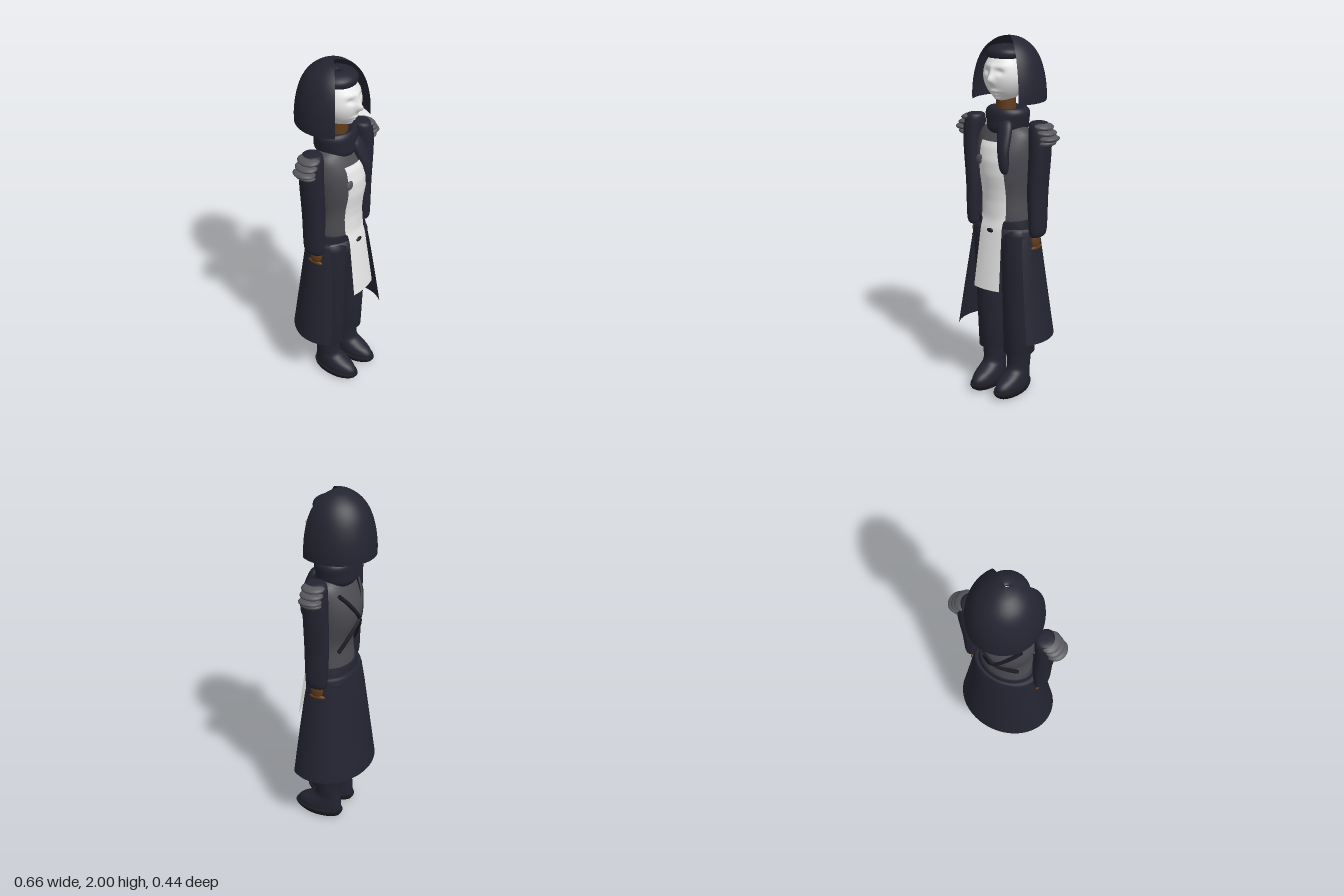
import * as THREE from 'three';
import { mergeVertices } from 'three/addons/utils/BufferGeometryUtils.js';

const paint = (name, color) => {
  const m = new THREE.MeshStandardMaterial({ color, side: THREE.DoubleSide });
  m.name = name;
  return m;
};

// Elliptical cross-sections [y, rx, rz, zCentre, xCentre], bottom to top, joined smoothly.
function loft(rings, { gap = 0, smooth = 1, seg = 40 } = {}) {
  const rows = [];
  rings.forEach((r, i) => {
    if (i === rings.length - 1) return rows.push(r);
    const at = (k) => rings[Math.min(Math.max(k, 0), rings.length - 1)];
    for (let s = 0; s < smooth; s++) {
      const t = s / smooth;
      rows.push([0, 1, 2, 3, 4].map((k) => {
        const [a, b, c, d] = [at(i - 1), r, at(i + 1), at(i + 2)].map((q) => q[k] ?? 0);
        return b + 0.5 * t * (c - a + t * (2 * a - 5 * b + 4 * c - d + t * (3 * (b - c) + d - a)));
      }));
    }
  });
  let g = new THREE.LatheGeometry(rows.map((_, i) => new THREE.Vector2(1, i)), seg, gap, Math.PI * 2 - 2 * gap);
  const p = g.attributes.position;
  for (let i = 0; i < p.count; i++) {
    const [y, rx, rz, zc = 0, xc = 0] = rows[i % rows.length];
    p.setXYZ(i, xc + p.getX(i) * Math.max(rx, 0), y, zc + p.getZ(i) * Math.max(rz, 0));
  }
  g.deleteAttribute('uv');
  g.deleteAttribute('normal');
  g = mergeVertices(g, 1e-5);
  g.computeVertexNormals();
  return g;
}

// Torso sections, shared with the front panel.
const TORSO = [
  [1.0, 0.147, 0.115, 0.015], [1.06, 0.142, 0.115, 0.02], [1.14, 0.134, 0.112, 0.022], [1.2, 0.138, 0.122, 0.018],
  [1.28, 0.152, 0.142, 0.012], [1.36, 0.164, 0.146, 0.01], [1.43, 0.166, 0.128, 0.012], [1.5, 0.15, 0.092, 0.012],
  [1.54, 0.09, 0.06, 0.012], [1.55, 0, 0, 0.012],
];

export function createModel() {
  const model = new THREE.Group();
  model.name = 'hoodedFigure';
  const navy = paint('navyCloth', 0x242432);
  const black = paint('blackLeather', 0x1b1b22);
  const grey = paint('greyVest', 0x4b4b51);
  const steel = paint('shoulderGrey', 0x56565c);
  const white = paint('white', 0xececec);
  const skin = paint('brownSkin', 0x603c1c);

  const add = (name, geo, mat, parent = model) => {
    const m = new THREE.Mesh(geo, mat);
    m.name = name;
    parent.add(m);
    return m;
  };
  const ball = (name, mat, [x, y, z], [a, b, c], parent) => {
    const m = add(name, new THREE.SphereGeometry(1, 28, 18), mat, parent);
    m.position.set(x, y, z);
    m.scale.set(a, b, c);
    return m;
  };

  // Masked head: an ellipsoid with nose, brow, sockets, lips and chin pushed in or out
  const head = new THREE.SphereGeometry(1, 72, 56);
  const hp = head.attributes.position;
  const features = [ // x, y, width, height, depth
    [0, 1.785, 0.014, 0.022, 0.03], [0, 1.82, 0.011, 0.03, 0.012], [0, 1.725, 0.03, 0.008, 0.012],
    [0, 1.705, 0.025, 0.007, 0.012], [0, 1.68, 0.028, 0.014, 0.02], [0, 1.855, 0.07, 0.012, 0.006],
    [-0.042, 1.825, 0.02, 0.014, -0.014], [0.042, 1.825, 0.02, 0.014, -0.014],
  ];
  for (let i = 0; i < hp.count; i++) {
    const y = 1.798 + hp.getY(i) * 0.137;
    const jaw = 1 - 0.12 * THREE.MathUtils.smoothstep(1.8 - y, 0, 0.12);
    const x = hp.getX(i) * 0.116 * jaw;
    let z = 0.018 + hp.getZ(i) * 0.122;
    if (hp.getZ(i) > 0) {
      const fade = Math.min(1, hp.getZ(i) * 2);
      for (const [fx, fy, w, h, d] of features)
        z += fade * d * Math.exp(-(((x - fx) / w) ** 2) - ((y - fy) / h) ** 2);
    }
    hp.setXYZ(i, x, y, z);
  }
  head.computeVertexNormals();
  add('maskedHead', head, white);
  for (const s of [-1, 1]) ball('ear', skin, [s * 0.122, 1.785, 0.015], [0.018, 0.042, 0.028]);
  add('neck', loft([[1.55, 0.055, 0.053, 0.015], [1.72, 0.052, 0.052, 0.015]]), skin);

  // Hair ring, open at the crown
  add('hair', loft([
    [1.89, 0.085, 0.085, 0.012], [1.893, 0.1, 0.1, 0.012], [1.915, 0.107, 0.104, 0.012], [1.935, 0.095, 0.094, 0.012],
    [1.952, 0.06, 0.06, 0.012], [1.95, 0.017, 0.017, 0.012], [1.93, 0.017, 0.017, 0.012],
  ], { smooth: 3 }), navy);

  // Hood, open at the front
  add('hood', loft([
    [1.663, 0.194, 0.202, -0.015], [1.72, 0.194, 0.201, -0.015], [1.8, 0.184, 0.191, -0.014], [1.88, 0.16, 0.168, -0.013],
    [1.94, 0.124, 0.13, -0.012], [1.98, 0.075, 0.078, -0.011], [1.995, 0.035, 0.036, -0.01], [2.0, 0, 0, -0.01],
  ], { gap: 0.9, smooth: 4, seg: 56 }), navy);

  // Scarf with a hanging end
  add('scarf', loft([
    [1.5, 0.06, 0.06, 0], [1.492, 0.088, 0.09, 0.005], [1.52, 0.108, 0.113, 0], [1.56, 0.116, 0.112, 0],
    [1.6, 0.122, 0.11, 0], [1.622, 0.112, 0.102, 0], [1.63, 0.09, 0.085, 0.005], [1.61, 0.05, 0.05, 0.012],
  ], { smooth: 4 }), navy);
  add('scarfEnd', loft([
    [1.298, 0, 0, 0.142, 0.085], [1.305, 0.018, 0.013, 0.142, 0.085], [1.34, 0.028, 0.022, 0.143, 0.082],
    [1.42, 0.034, 0.026, 0.138, 0.074], [1.5, 0.042, 0.028, 0.112, 0.062], [1.56, 0.04, 0.025, 0.088, 0.05],
    [1.59, 0, 0, 0.07, 0.045],
  ], { smooth: 4, seg: 24 }), navy);

  // Vest, belt and hips
  add('vest', loft(TORSO, { smooth: 4, seg: 56 }), grey);
  add('belt', loft([
    [0.96, 0.165, 0.118, 0.01], [0.965, 0.17, 0.124, 0.01], [1.024, 0.163, 0.122, 0.012], [1.03, 0.155, 0.116, 0.015],
    [1.03, 0.13, 0.1, 0.015],
  ]), navy);
  add('hips', loft([
    [0.78, 0.15, 0.09, 0.01], [0.9, 0.183, 0.118, 0.01], [0.985, 0.183, 0.124, 0.01], [0.99, 0, 0, 0.01],
  ]), navy);

  // White front panel: hugs the vest, then hangs free below the belt
  const vestFront = (x, y) => {
    let i = 0;
    while (i < TORSO.length - 3 && TORSO[i + 1][0] < y) i++;
    const [a, b] = [TORSO[i], TORSO[i + 1]];
    const t = THREE.MathUtils.clamp((y - a[0]) / (b[0] - a[0]), 0, 1);
    const [rx, rz, zc] = [1, 2, 3].map((k) => a[k] + (b[k] - a[k]) * t);
    return zc + rz * Math.sqrt(1 - (x / rx) ** 2);
  };
  const panel = new THREE.PlaneGeometry(2, 0.81, 16, 60);
  const pp = panel.attributes.position;
  for (let i = 0; i < pp.count; i++) {
    const y = pp.getY(i) + 1.055;
    const half = y > 1.04 ? 0.08 : 0.07 + 0.016 * Math.max(0, (1.0 - y) / 0.35);
    const x = pp.getX(i) * half;
    const flap = 0.157 + (0.98 - y) * 0.145 - 1.6 * x * x;
    const t = THREE.MathUtils.smoothstep(y, 0.98, 1.08);
    pp.setXYZ(i, x, y, flap * (1 - t) + (vestFront(x, y) + 0.008) * t);
  }
  panel.computeVertexNormals();
  add('frontPanel', panel, white);
  ball('buckle', black, [0, 0.978, 0.158], [0.021, 0.012, 0.008]);
  ball('brooch', steel, [-0.072, 1.36, 0.146], [0.028, 0.026, 0.01]);

  // Long coat skirt, open at the front
  add('coatSkirt', loft([
    [0.36, 0.287, 0.238, 0.02], [0.6, 0.25, 0.205, 0.018], [0.85, 0.212, 0.168, 0.014], [0.97, 0.194, 0.142, 0.01],
    [0.99, 0.184, 0.13, 0.01], [0.992, 0.14, 0.1, 0.01],
  ], { gap: 0.99, smooth: 2, seg: 56 }), navy);

  // Crossed straps on the back
  for (const s of [-1, 1]) {
    const path = new THREE.CatmullRomCurve3([
      [0.125, 1.47, -0.075], [0.08, 1.41, -0.112], [0, 1.3, -0.136], [-0.06, 1.2, -0.1], [-0.1, 1.12, -0.06],
    ].map(([x, y, z]) => new THREE.Vector3(s * x, y, z - 0.002)));
    add('backStrap', new THREE.TubeGeometry(path, 32, 0.011, 10), black);
  }

  // Arms, shoulder pads, legs and boots, mirrored
  for (const s of [-1, 1]) {
    const side = new THREE.Group();
    side.name = s > 0 ? 'leftLimbs' : 'rightLimbs';
    model.add(side);
    add('sleeve', loft([
      [0.945, 0, 0, 0.013, s * 0.208], [0.95, 0.025, 0.045, 0.013, s * 0.21], [0.975, 0.038, 0.06, 0.014, s * 0.212],
      [1.04, 0.043, 0.064, 0.014, s * 0.212], [1.2, 0.05, 0.068, 0.013, s * 0.209], [1.4, 0.055, 0.069, 0.012, s * 0.22],
      [1.5, 0.057, 0.066, 0.012, s * 0.219], [1.555, 0.052, 0.058, 0.012, s * 0.212], [1.573, 0.038, 0.04, 0.012, s * 0.21],
      [1.575, 0, 0, 0.012, s * 0.208],
    ], { smooth: 3 }), navy, side);
    ball('hand', skin, [s * 0.2, 0.925, 0.018], [0.022, 0.052, 0.036], side);
    ball('thumb', skin, [s * 0.205, 0.885, 0.015], [0.014, 0.014, 0.046], side);

    for (const [x, y, rx, rz, tilt] of [
      [0.243, 1.552, 0.048, 0.062, -0.15], [0.262, 1.522, 0.048, 0.062, -0.1], [0.28, 1.492, 0.05, 0.062, 0.05],
      [0.268, 1.468, 0.042, 0.056, 0.1],
    ]) ball('shoulderPad', steel, [s * x, y, 0.013], [rx, 0.019, rz], side).rotation.z = s * tilt;

    add('trouserLeg', loft([
      [0.24, 0.05, 0.055, 0.01, s * 0.088], [0.24, 0.084, 0.094, 0.01, s * 0.088], [0.45, 0.088, 0.102, 0.01, s * 0.09],
      [0.75, 0.094, 0.115, 0.01, s * 0.093], [0.95, 0.096, 0.12, 0.01, s * 0.097], [0.98, 0.08, 0.1, 0.01, s * 0.097],
    ]), navy, side);
    add('boot', loft([
      [0.03, 0.058, 0.135, 0.065, s * 0.085], [0.06, 0.063, 0.138, 0.066, s * 0.085], [0.09, 0.062, 0.124, 0.054, s * 0.085],
      [0.115, 0.06, 0.1, 0.032, s * 0.085], [0.14, 0.058, 0.08, 0.014, s * 0.085], [0.18, 0.062, 0.074, 0.009, s * 0.085],
      [0.26, 0.067, 0.08, 0.008, s * 0.086],
    ], { smooth: 4 }), navy, side);
    add('sole', loft([
      [0, 0, 0, 0.06, s * 0.085], [0.002, 0.058, 0.125, 0.06, s * 0.085], [0.018, 0.067, 0.142, 0.066, s * 0.085],
      [0.035, 0.07, 0.15, 0.069, s * 0.085], [0.045, 0.068, 0.147, 0.069, s * 0.085], [0.048, 0, 0, 0.068, s * 0.085],
    ]), black, side);
  }
  return model;
}
